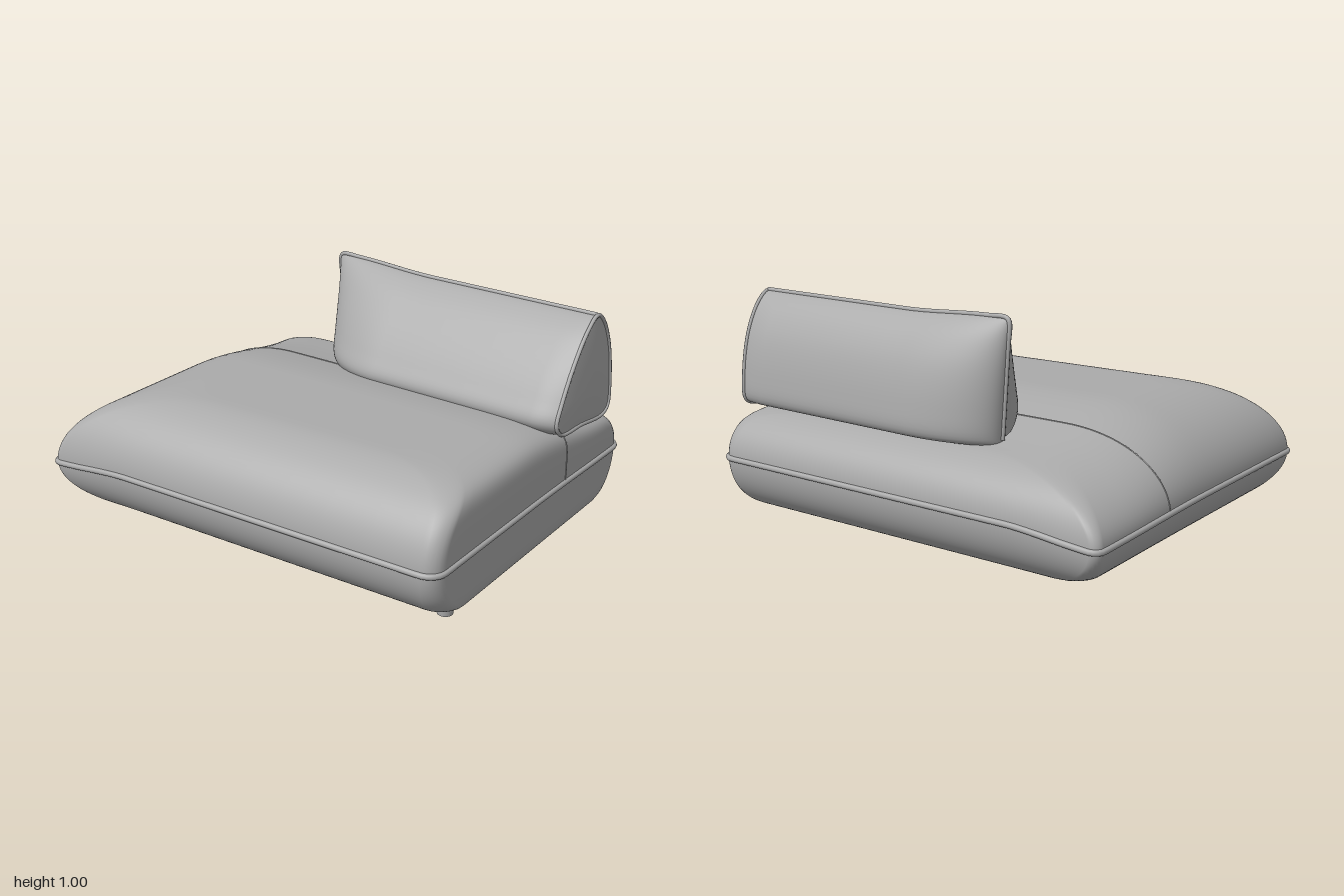
import * as THREE from 'three';

const V = (x, y, z) => new THREE.Vector3(x, y, z);
const clamp = THREE.MathUtils.clamp;
const smooth = THREE.MathUtils.smoothstep;

// Smooth skin through a list of closed rings with equal point counts
function loft(rings, flip) {
  const n = rings[0].length, pos = [], idx = [];
  rings.forEach(r => r.forEach(p => pos.push(p.x, p.y, p.z)));
  for (let i = 0; i < rings.length - 1; i++) {
    for (let j = 0; j < n; j++) {
      const a = i * n + j, b = i * n + (j + 1) % n, c = a + n, d = b + n;
      if (flip) idx.push(a, b, c, b, d, c);
      else idx.push(a, c, b, b, c, d);
    }
  }
  const g = new THREE.BufferGeometry();
  g.setAttribute('position', new THREE.Float32BufferAttribute(pos, 3));
  g.setIndex(idx);
  g.computeVertexNormals();
  return g;
}

function tube(points, radius, closed, segments) {
  const curve = new THREE.CatmullRomCurve3(points, closed);
  return new THREE.TubeGeometry(curve, segments, radius, 8, closed);
}

// Rounded rectangle in plan as [x, z] pairs; separate radii for the +x and -x corners
function roundedRect(x0, x1, z0, z1, rPlus, rMinus) {
  const corners = [[x1, z1, -1, -1, rPlus], [x0, z1, 1, -1, rMinus],
    [x0, z0, 1, 1, rMinus], [x1, z0, -1, 1, rPlus]];
  const arcs = corners.map(([x, z, sx, sz, r], k) => {
    const arc = [];
    for (let i = 0; i <= 6; i++) {
      const t = (k + i / 6) * Math.PI / 2;
      arc.push([x + sx * r + r * Math.cos(t), z + sz * r + r * Math.sin(t)]);
    }
    return arc;
  });
  const out = [];
  arcs.forEach((arc, k) => {
    out.push(...arc);
    const a = arc[6], b = arcs[(k + 1) % 4][0];
    for (let i = 1; i < 16; i++) {
      out.push([a[0] + (b[0] - a[0]) * i / 16, a[1] + (b[1] - a[1]) * i / 16]);
    }
  });
  return out;
}

// Seat: seam height, crown height and how far each side has rolled inward
const seamY = (x, z) => 0.276 - 0.032 * smooth(-x, 0.55, 1) - 0.014 * smooth(-z, 0, 0.8);
const crownY = z => 0.578 - 0.11 * smooth(-z, -0.05, 0.7);
const UPPER = { left: 0.35, right: 0.5, front: 0.34, back: 0.22 };
const LOWER = { left: 0.08, right: 0.28, front: 0.23, back: 0.2 };

function seatBounds(side, a) {
  const f = 1 - Math.cos(a);
  return [-0.985 + side.right * f, 0.984 - side.left * f ** 3,
    -0.815 + side.back * f, 0.785 - side.front * f];
}

function seatPoint(x, z, a, upper) {
  const zz = z - 0.042 * x * clamp(z / 0.6, 0, 1);
  const end = upper ? crownY(zz) : 0.02;
  return V(x, THREE.MathUtils.lerp(seamY(x, zz), end, Math.sin(a)), zz);
}

function seatRing(side, a, upper, shrink = 1) {
  const [x0, x1, z0, z1] = seatBounds(side, a);
  const cx = (x0 + x1) / 2, cz = (z0 + z1) / 2, f = 1 - Math.cos(a);
  return roundedRect(x0, x1, z0, z1, 0.07 + 0.06 * f, 0.04 + 0.12 * f)
    .map(([x, z]) => seatPoint(cx + (x - cx) * shrink, cz + (z - cz) * shrink, a, upper));
}

function seatShell(side, upper) {
  const rings = [];
  for (let i = 0; i <= 24; i++) rings.push(seatRing(side, i / 24 * Math.PI / 2, upper));
  for (let i = 1; i <= 14; i++) rings.push(seatRing(side, Math.PI / 2, upper, 1 - i / 14 * 0.9999));
  return loft(rings, !upper);
}

// Backrest: one teardrop section [z from the ridge, y] that pinches shut at the -x end
const SECTION = [[0, 0.97], [0.09, 0.925], [0.21, 0.8], [0.305, 0.66], [0.345, 0.57], [0.3, 0.515],
  [0.1, 0.495], [-0.13, 0.473], [-0.185, 0.5], [-0.187, 0.62], [-0.145, 0.8], [-0.07, 0.925]];
const section = new THREE.CatmullRomCurve3(SECTION.map(([z, y]) => V(0, y, z)), true)
  .getPoints(72).slice(0, -1);
const TIP = -0.378, END = 0.978;
const ridgeZ = x => -0.52 + 0.025 * (x - TIP) / (END - TIP);
const ridgeY = x => 0.968 + 0.02 * smooth(-x, -0.15, 0.3);

function backPoint(x, dz, y) {
  const u = clamp((x - TIP) / 0.43, 0, 1);
  const w = Math.sqrt(Math.max(0, 1 - (1 - u) ** 2)) - 0.09 * clamp((x - 0.86) / 0.118, 0, 1) ** 2;
  const k = (y - 0.5) / 0.47;
  const lean = 0.035 * (1 - k) * (1 - u);
  return V(x + lean, 0.5 + k * (ridgeY(x) - 0.5), ridgeZ(x) + dz * w);
}
const backRing = x => section.map(p => backPoint(x, p.z, p.y));

export function createModel() {
  const group = new THREE.Group();
  const fabric = new THREE.MeshStandardMaterial({ color: 0xababab });
  fabric.name = 'grey fabric';
  const add = (name, geometry) => {
    const mesh = new THREE.Mesh(geometry, fabric);
    mesh.name = name;
    group.add(mesh);
    return mesh;
  };

  // Seat cushion halves with piping between them
  add('upperSeat', seatShell(UPPER, true));
  add('lowerSeat', seatShell(LOWER, false));
  add('seatPiping', tube(seatRing(UPPER, 0, true), 0.013, true, 420));

  // Stitched seam running over the seat, side to side
  const stitch = [];
  for (let i = 0; i <= 24; i++) {
    const a = i / 24 * Math.PI / 2;
    stitch.push(seatPoint(seatBounds(UPPER, a)[0], -0.285, a, true));
  }
  for (let i = 24; i >= 0; i--) {
    const a = i / 24 * Math.PI / 2;
    stitch.push(seatPoint(seatBounds(UPPER, a)[1], -0.285, a, true));
  }
  add('seatSeam', tube(stitch, 0.003, false, 160));

  // Backrest body
  const xs = [];
  for (let i = 0; i <= 22; i++) xs.push(TIP + 0.43 * (i / 22) ** 2);
  for (let i = 1; i <= 12; i++) xs.push(0.052 + 0.808 * i / 12);
  for (let i = 1; i <= 6; i++) xs.push(0.86 + (END - 0.86) * i / 6);
  add('backrest', loft(xs.map(backRing), true));

  // Gently domed end panel and its piping
  const rim = backRing(END), centre = V(END, 0.68, -0.46), panel = [];
  for (let i = 0; i <= 8; i++) {
    const s = 1 - i / 8 * 0.9999;
    panel.push(rim.map(p => V(END + 0.014 * (1 - s * s),
      centre.y + (p.y - centre.y) * s, centre.z + (p.z - centre.z) * s)));
  }
  add('backrestEndPanel', loft(panel, true));
  add('endPanelPiping', tube(rim, 0.009, true, 160));

  // Piping along the ridge and down the pinched end
  const ridge = [];
  for (let i = 0; i <= 5; i++) ridge.push(backPoint(TIP, 0, 0.49 + 0.465 * i / 5));
  for (let i = 0; i <= 14; i++) {
    const x = TIP + 0.015 + (END - TIP - 0.015) * i / 14;
    ridge.push(V(x, ridgeY(x) + 0.002, ridgeZ(x)));
  }
  add('backrestPiping', tube(ridge, 0.01, false, 160));

  // Feet
  for (const x of [-0.71, 0.9]) {
    for (const z of [-0.57, 0.53]) {
      add('foot', new THREE.CylinderGeometry(0.036, 0.033, 0.03, 24)).position.set(x, 0.015, z);
    }
  }
  return group;
}
